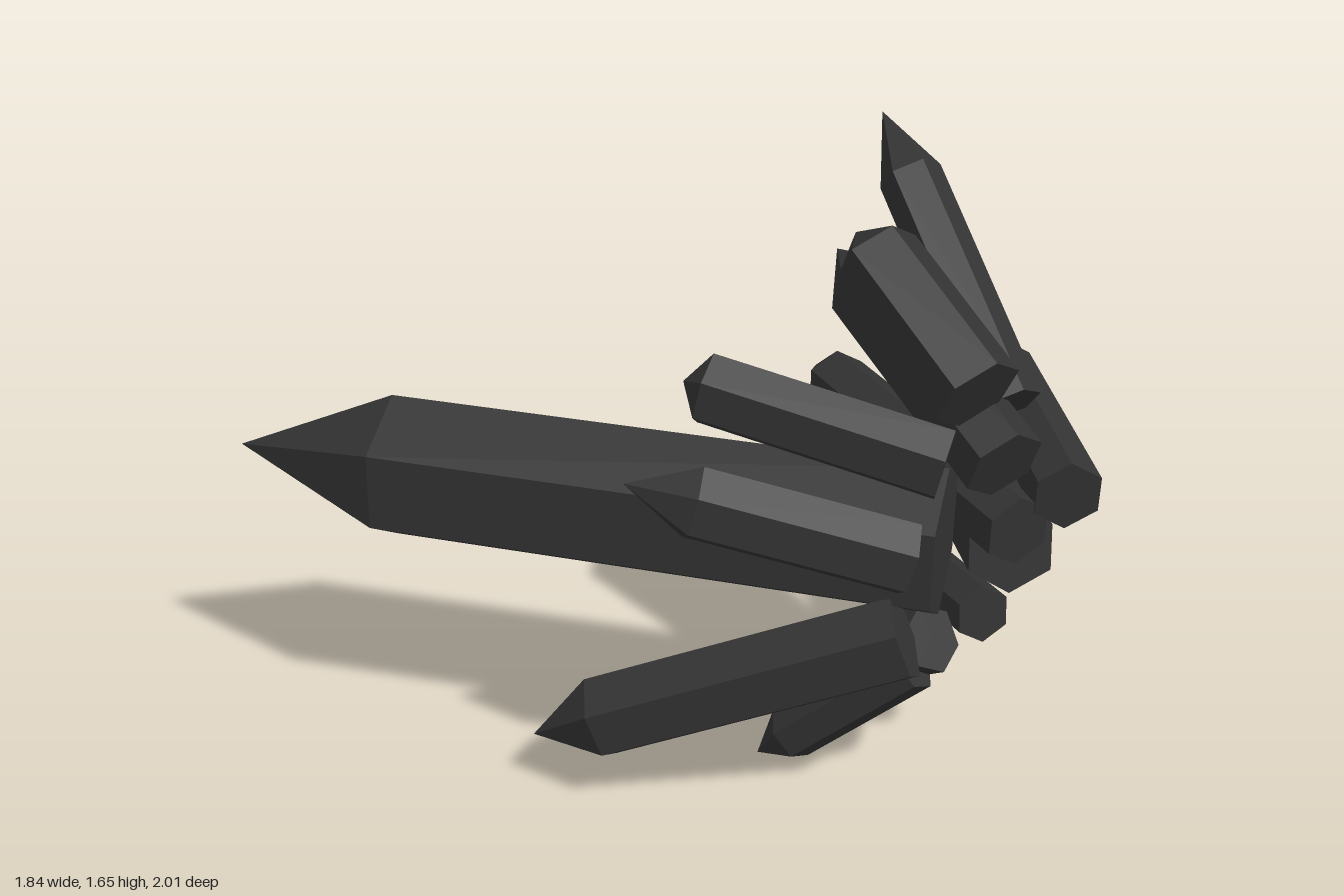
import * as THREE from 'three';

const material = new THREE.MeshStandardMaterial({ color: 0x333333, flatShading: true });

// Six-sided crystal: flat base, straight shaft and a point.
// Built along +y, then turned so y follows the axis and one edge faces up.
function crystal(name, base, tip, radius, pointLength) {
  const start = new THREE.Vector3(...base);
  const axis = new THREE.Vector3(...tip).sub(start);
  const length = axis.length();
  axis.normalize();

  const profile = [
    new THREE.Vector2(0, 0),
    new THREE.Vector2(radius, 0),
    new THREE.Vector2(radius, length - pointLength),
    new THREE.Vector2(0, length),
  ];
  const mesh = new THREE.Mesh(new THREE.LatheGeometry(profile, 6), material);
  mesh.name = name;

  const up = new THREE.Vector3(0, 1, 0).addScaledVector(axis, -axis.y).normalize();
  const side = new THREE.Vector3().crossVectors(axis, up);
  mesh.quaternion.setFromRotationMatrix(new THREE.Matrix4().makeBasis(side, axis, up));
  mesh.position.copy(start);
  return mesh;
}

// name, base centre, tip, radius, length of the point
const CRYSTALS = [
  ['mainCrystal', [0.06, 0.735, 0.77], [-0.92, 0.78, -1.0], 0.214, 0.475],
  ['upperStubbyCrystal', [0.13, 1.14, 0.8], [0.225, 1.44, 0.3], 0.125, 0.1],
  ['upperLongCrystal', [0.37, 1.02, 0.73], [0.6, 1.66, 0.07], 0.09, 0.22],
  ['upperRearCrystal', [0.21, 0.93, 0.84], [0.43, 1.29, 0.06], 0.115, 0.17],
  ['upperRightCrystal', [-0.02, 1.0, 0.82], [-0.36, 1.16, 0.23], 0.1, 0.06],
  ['rightCrystal', [-0.16, 0.79, 0.83], [-0.66, 1.0, 0.32], 0.1, 0.18],
  ['lowerRightCrystal', [-0.125, 0.54, 0.8], [-0.715, 0.16, 0.0], 0.12, 0.2],
  ['lowerSmallCrystal', [-0.01, 0.39, 0.74], [-0.18, 0.005, 0.335], 0.08, 0.13],
  ['lowerRearCrystal', [0.03, 0.46, 0.77], [0.08, 0.02, 0.01], 0.095, 0.17],
  ['lowerLeftSmallCrystal', [0.17, 0.5, 0.83], [0.46, 0.44, 0.25], 0.08, 0.12],
  ['lowerLeftStubbyCrystal', [0.32, 0.635, 0.8], [0.69, 0.555, 0.4], 0.13, 0.09],
  ['leftCrystal', [0.35, 0.83, 0.95], [0.915, 0.93, 0.235], 0.1, 0.2],
  ['leftRearCrystal', [0.25, 0.735, 0.87], [0.665, 0.79, -0.215], 0.1, 0.13],
];

export function createModel() {
  const group = new THREE.Group();
  group.name = 'crystalCluster';
  for (const spec of CRYSTALS) group.add(crystal(...spec));
  return group;
}
